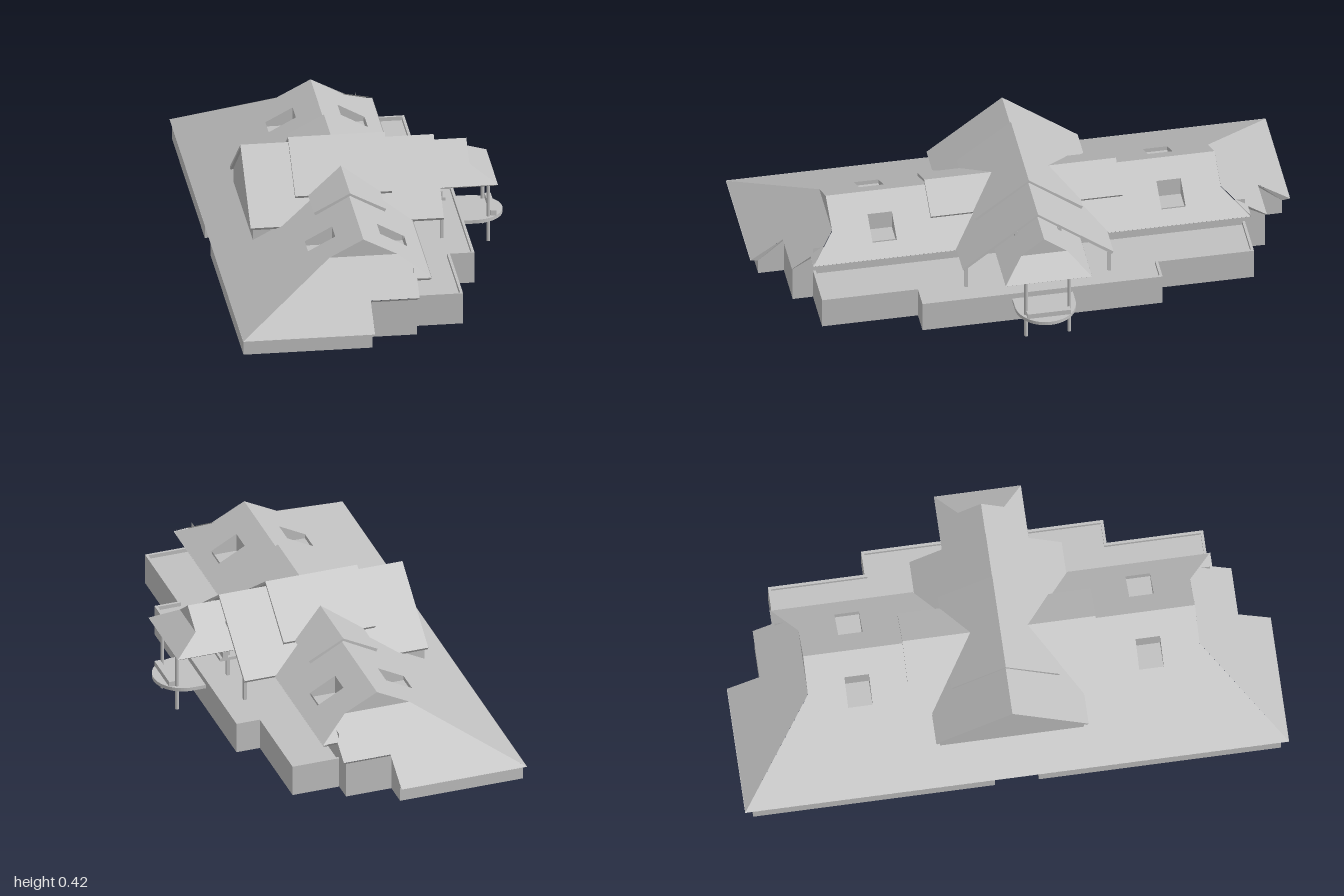
import * as THREE from 'three';

const plaster = new THREE.MeshStandardMaterial({ color: 0xc0c0c0, side: THREE.DoubleSide });
plaster.name = 'pale grey';

function add(parent, name, geometry) {
  const mesh = new THREE.Mesh(geometry, plaster);
  mesh.name = name;
  parent.add(mesh);
  return mesh;
}

// Flat sheet drawn in plan as [x, z] points; height(x, z) lifts it into a slope.
function sheet(parent, name, points, height, holes = []) {
  const toShape = (p) => p.map(([x, z]) => new THREE.Vector2(x, -z));
  const shape = new THREE.Shape(toShape(points));
  for (const h of holes) shape.holes.push(new THREE.Path(toShape(h)));
  const geo = new THREE.ShapeGeometry(shape);
  const pos = geo.attributes.position;
  for (let i = 0; i < pos.count; i++) {
    const x = pos.getX(i), z = -pos.getY(i);
    pos.setXYZ(i, x, height(x, z), z);
  }
  geo.computeVertexNormals();
  return add(parent, name, geo);
}

// Band of quads joining two rows of [x, y, z] points.
function strip(parent, name, a, b) {
  const v = [];
  for (let i = 0; i + 1 < a.length; i++) v.push(...b[i], ...b[i + 1], ...a[i + 1], ...b[i], ...a[i + 1], ...a[i]);
  const geo = new THREE.BufferGeometry();
  geo.setAttribute('position', new THREE.Float32BufferAttribute(v, 3));
  geo.computeVertexNormals();
  return add(parent, name, geo);
}

// Box given by its minimum and maximum corners.
function block(parent, name, [x0, y0, z0], [x1, y1, z1]) {
  const geo = new THREE.BoxGeometry(x1 - x0, y1 - y0, z1 - z0);
  geo.translate((x0 + x1) / 2, (y0 + y1) / 2, (z0 + z1) / 2);
  return add(parent, name, geo);
}

// Pitched roof slab: a chevron section, extruded along z from 0 to length.
function gableRoof(halfWidth, ridge, eave, length, t = 0.01) {
  const s = new THREE.Shape([
    [-halfWidth, eave], [-halfWidth + 0.006, eave - t], [0, ridge - t],
    [halfWidth - 0.006, eave - t], [halfWidth, eave], [0, ridge],
  ].map(([x, y]) => new THREE.Vector2(x, y)));
  return new THREE.ExtrudeGeometry(s, { depth: length, bevelEnabled: false });
}

// Vertical wall facing along x, outlined by [z, y] points.
function gableWall(parent, name, x, points) {
  const geo = new THREE.ShapeGeometry(new THREE.Shape(points.map(([z, y]) => new THREE.Vector2(-z, y))));
  geo.rotateY(Math.PI / 2).translate(x, 0, 0);
  return add(parent, name, geo);
}

const RIDGE_X = -0.065;
const west = (x) => 0.32 + (x - RIDGE_X) * 0.531;
const east = (x) => 0.32 - (x - RIDGE_X) * 0.55;
const hip = (x, z) => 0.255 - (z - 0.72) * 0.679;
const porch = (x, z) => 0.378 - z * 0.765;

function buildHalf() {
  const g = new THREE.Group();
  const rect = (x0, x1) => [[x0, 0.49], [x1, 0.49], [x1, 0.58], [x0, 0.58]];
  const westLight = rect(-0.25, -0.15), eastLight = rect(0.015, 0.115);

  // Main roof
  sheet(g, 'backRoofSlope', [[RIDGE_X, 0.11], [-0.305, 0.28], [-0.305, 0.265], [-0.41, 0.265], [-0.41, 0],
    [-0.545, 0], [-0.545, 1], [-0.19, 0.72], [RIDGE_X, 0.72]], west, [westLight]);
  sheet(g, 'frontRoofSlope', [[RIDGE_X, 0.11], [0.175, 0.285], [0.175, 0.81], [0.06, 0.72], [RIDGE_X, 0.72]],
    east, [eastLight]);
  sheet(g, 'hipRoofEnd', [[-0.19, 0.72], [0.06, 0.72], [0.175, 0.81], [0.12, 0.81], [0.12, 0.88],
    [-0.06, 0.88], [-0.06, 1], [-0.545, 1]], hip);
  strip(g, 'roofGablet', [[-0.19, 0.255, 0.72], [0.06, 0.255, 0.72]], [[RIDGE_X, 0.32, 0.72], [RIDGE_X, 0.32, 0.72]]);
  strip(g, 'roofGabletFace', [[RIDGE_X, 0.32, 0.72], [RIDGE_X, 0.32, 0.72]], [[-0.19, 0.255, 0.72], [0.06, 0.255, 0.72]]);

  // Sunken skylights
  for (const [outline, slope] of [[westLight, west], [eastLight, east]]) {
    const ring = [...outline, outline[0]];
    strip(g, 'skylightSides', ring.map(([x, z]) => [x, slope(x), z]), ring.map(([x, z]) => [x, 0.205, z]));
    sheet(g, 'skylightFloor', outline, () => 0.205);
  }

  // Eaves
  strip(g, 'eaves',
    [[-0.545, 0.066, 0], [-0.545, 0.066, 1], [-0.06, 0.066, 1], [-0.06, 0.146, 0.88], [0.12, 0.146, 0.88],
      [0.12, 0.194, 0.81], [0.175, 0.19, 0.81], [0.175, 0.19, 0.285]],
    [[-0.54, 0.058, 0], [-0.54, 0.058, 0.97], [-0.065, 0.058, 0.97], [-0.065, 0.138, 0.875], [0.11, 0.138, 0.875],
      [0.11, 0.182, 0.8], [0.165, 0.18, 0.8], [0.165, 0.18, 0.285]]);

  // Outer walls with the recess in the back, then the upper wall
  const wall = [[-0.49, 0.09, 0], [-0.49, 0.09, 0.08], [-0.54, 0.06, 0.08], [-0.54, 0.06, 0.97], [-0.065, 0.06, 0.97],
    [-0.065, 0.14, 0.875], [0.11, 0.14, 0.875], [0.11, 0.185, 0.8]];
  strip(g, 'outerWalls', wall, wall.map(([x, , z]) => [x, 0, z]));
  strip(g, 'upperWall', [[0.11, 0.222, 0.8], [0.11, 0.222, 0.26]], [[0.11, 0.1, 0.8], [0.11, 0.1, 0.26]]);

  // Terrace
  sheet(g, 'terraceDeck', [[0.11, 0], [0.375, 0], [0.375, 0.44], [0.285, 0.44], [0.285, 0.795], [0.11, 0.795]], () => 0.105);
  block(g, 'terraceEndWall', [0.11, 0, 0.79], [0.29, 0.12, 0.8]);
  block(g, 'terraceSideWall', [0.28, 0, 0.435], [0.29, 0.12, 0.79]);
  block(g, 'terraceReturnWall', [0.29, 0, 0.435], [0.38, 0.12, 0.445]);
  block(g, 'terraceFrontWall', [0.37, 0, 0], [0.38, 0.12, 0.435]);

  // Raised ridge roof
  const raised = add(g, 'raisedRidgeRoof', gableRoof(0.133, 0.342, 0.272, 0.255));
  raised.position.set(RIDGE_X, 0, 0.1);

  // Side of the back dormer
  strip(g, 'dormerSide', [[-0.41, 0.195, 0.265], [-0.3, 0.195, 0.265]], [[-0.41, west(-0.41), 0.265], [-0.3, 0.195, 0.265]]);

  // Porch roof
  sheet(g, 'porchRoofSlope', [[0.11, 0], [0.41, 0], [0.41, 0.085], [0.505, 0.16], [0.11, 0.16]], porch);
  strip(g, 'porchEave', [[0.29, 0.256, 0.16], [0.505, 0.256, 0.16], [0.505, 0.256, 0]],
    [[0.29, 0.249, 0.152], [0.497, 0.249, 0.152], [0.497, 0.249, 0]]);

  // Posts
  for (const z of [0.08, 0.265]) block(g, 'gablePost', [0.278, 0.1, z - 0.006], [0.29, z < 0.1 ? 0.33 : 0.195, z + 0.006]);
  const post = add(g, 'porchPost', new THREE.CylinderGeometry(0.007, 0.007, 0.258, 12));
  post.position.set(0.48, 0.129, 0.08);
  return g;
}

export function createModel() {
  const model = new THREE.Group();
  model.name = 'lodge';
  const half = buildHalf();
  half.name = 'leftHalf';
  const mirrored = half.clone();
  mirrored.name = 'rightHalf';
  mirrored.scale.z = -1;
  model.add(half, mirrored);

  // Cross gable and the cap over its middle
  const cross = add(model, 'crossGableRoof', gableRoof(0.28, 0.4, 0.19, 0.71));
  cross.rotation.y = Math.PI / 2;
  cross.position.x = -0.42;
  const cap = add(model, 'capRoof', gableRoof(0.2, 0.42, 0.272, 0.355));
  cap.rotation.y = Math.PI / 2;
  cap.position.x = -0.245;
  gableWall(model, 'backGableWall', -0.41, [[-0.265, 0.13], [0.265, 0.13], [0.265, 0.194], [0, 0.393], [-0.265, 0.194]]);
  gableWall(model, 'frontGableWall', 0.11, [[-0.265, 0.1], [0.265, 0.1], [0.265, 0.194], [0, 0.393], [-0.265, 0.194]]);

  // Porch roof end
  gableWall(model, 'porchGablet', 0.41, [[-0.085, 0.313], [0.085, 0.313], [0, 0.378]]);
  sheet(model, 'porchHip', [[0.41, -0.085], [0.41, 0.085], [0.505, 0.16], [0.505, -0.16]],
    (x) => 0.313 - (x - 0.41) * 0.605);

  // Loft floor, rails and the rounded balcony
  block(model, 'loftFloor', [0.11, 0.178, -0.1], [0.32, 0.19, 0.1]);
  block(model, 'loftRail', [0.29, 0.19, -0.1], [0.31, 0.215, 0.1]);
  block(model, 'balconyRail', [0.488, 0.098, -0.08], [0.51, 0.118, 0.08]);
  const plan = new THREE.Shape();
  plan.moveTo(0.38, -0.112);
  plan.lineTo(0.43, -0.112);
  plan.absarc(0.43, 0, 0.112, -Math.PI / 2, Math.PI / 2, false);
  plan.lineTo(0.38, 0.112);
  const balcony = new THREE.ExtrudeGeometry(plan, { depth: 0.014, bevelEnabled: false, curveSegments: 16 });
  balcony.rotateX(-Math.PI / 2).translate(0, 0.084, 0);
  add(model, 'balcony', balcony);
  return model;
}
